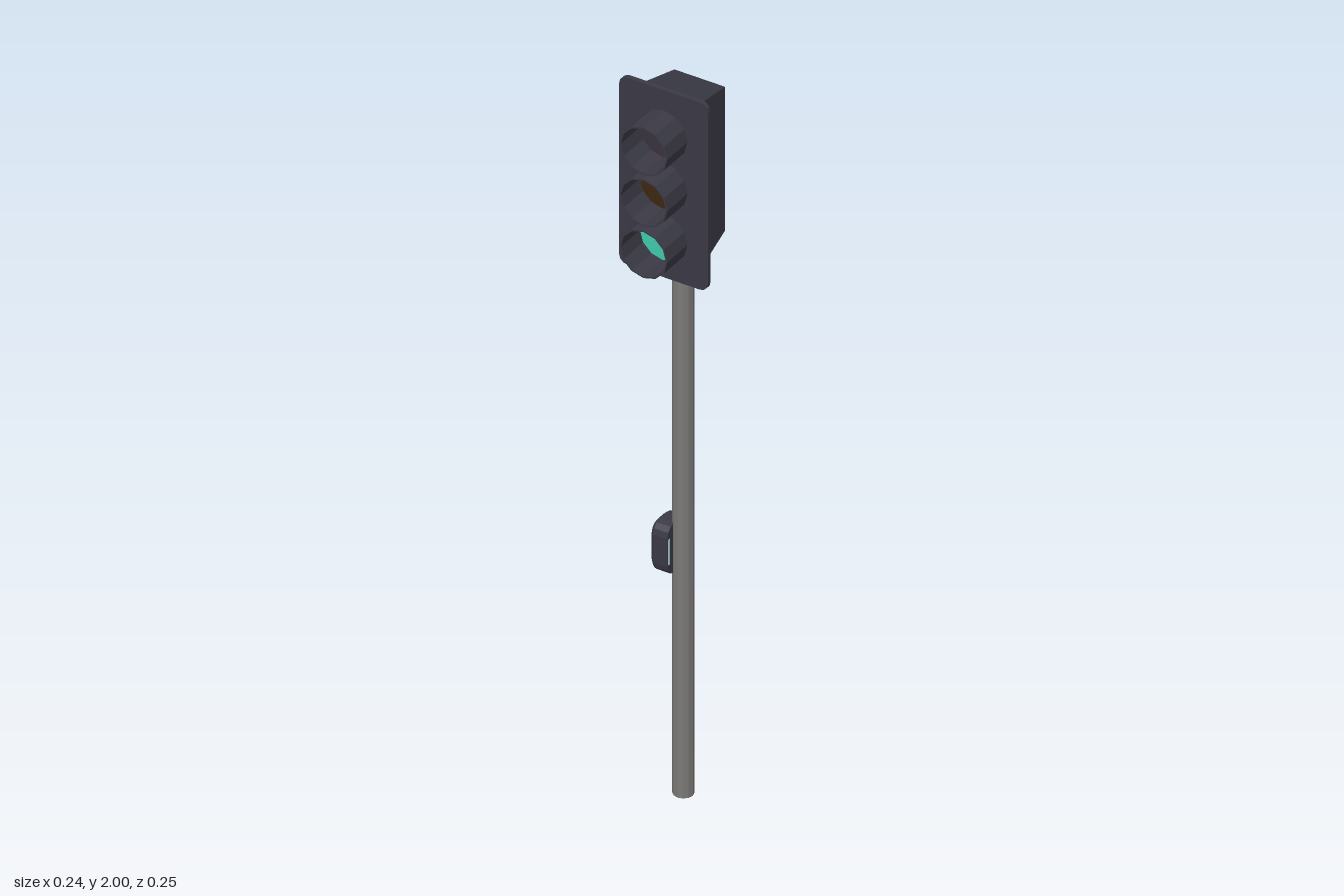
import * as THREE from 'three';

const paint = (name, color) => {
  const m = new THREE.MeshStandardMaterial({ color, flatShading: true });
  m.name = name;
  return m;
};

// Outline of a rounded rectangle, anticlockwise seen from the front
function outline(hw, y0, y1, r) {
  const pts = [];
  const corners = [[hw - r, y1 - r], [r - hw, y1 - r], [r - hw, y0 + r], [hw - r, y0 + r]];
  corners.forEach(([x, y], c) => {
    for (let i = 0; i <= 3; i++) {
      const a = (c + i / 3) * Math.PI / 2;
      pts.push([x + r * Math.cos(a), y + r * Math.sin(a)]);
    }
  });
  return pts;
}

// Capped solid through sections [halfWidth, bottom, top, cornerRadius, z], front to back
function loft(sections) {
  const pos = [], idx = [], n = 16;
  sections.forEach(([hw, y0, y1, r, z]) => outline(hw, y0, y1, r).forEach(([x, y]) => pos.push(x, y, z)));
  for (let s = 0; s < sections.length - 1; s++) {
    for (let i = 0; i < n; i++) {
      const a = s * n + i, a2 = s * n + (i + 1) % n;
      idx.push(a, a + n, a2 + n, a, a2 + n, a2);
    }
  }
  const last = (sections.length - 1) * n;
  for (let i = 1; i < n - 1; i++) {
    idx.push(0, i, i + 1, last, last + i + 1, last + i);
  }
  const g = new THREE.BufferGeometry();
  g.setAttribute('position', new THREE.Float32BufferAttribute(pos, 3));
  g.setIndex(idx);
  const flat = g.toNonIndexed();
  flat.computeVertexNormals();
  return flat;
}

export function createModel() {
  const model = new THREE.Group();
  const housingPaint = paint('charcoal', 0x3a3945);
  const polePaint = paint('pole grey', 0x7b7a77);
  const redPaint = paint('unlit red', 0x38323c);
  const amberPaint = paint('unlit amber', 0x3d2610);
  const greenPaint = paint('lit green', 0x40c8ac);
  const palePaint = paint('pale blue', 0xa9cdd6);

  const add = (name, geometry, material, parent = model) => {
    const mesh = new THREE.Mesh(geometry, material);
    mesh.name = name;
    parent.add(mesh);
    return mesh;
  };

  // Pole
  add('pole', new THREE.CylinderGeometry(0.026, 0.026, 1.56, 12), polePaint).position.set(0, 0.78, -0.053);

  // Signal head: tapered housing behind a rounded backplate
  add('housing', loft([
    [0.083, 1.507, 1.977, 0.002, 0.014],
    [0.07, 1.545, 1.947, 0.002, -0.123],
  ]), housingPaint);
  add('backplate', loft([
    [0.122, 1.48, 2.0, 0.022, 0.034],
    [0.122, 1.48, 2.0, 0.022, 0.022],
    [0.083, 1.503, 1.977, 0.012, 0.011],
  ]), housingPaint);

  // Three lenses, each in a tubular visor
  const wall = [[0.062, 0.03], [0.066, 0.03], [0.066, 0.122], [0.062, 0.122], [0.062, 0.03]];
  const visorGeometry = new THREE.LatheGeometry(wall.map(([r, z]) => new THREE.Vector2(r, z)), 12);
  visorGeometry.rotateX(Math.PI / 2);
  const lamps = [['red', redPaint, 1.878], ['amber', amberPaint, 1.735], ['green', greenPaint, 1.592]];
  for (const [name, material, y] of lamps) {
    add(name + 'Visor', visorGeometry, housingPaint).position.y = y;
    add(name + 'Lens', new THREE.CircleGeometry(0.063, 24), material).position.set(0, y, 0.038);
  }

  // Crossing button box on the right side of the pole, built facing +z then turned
  const box = new THREE.Group();
  box.name = 'buttonBox';
  box.position.set(0, 0.684, -0.053);
  box.rotation.y = -Math.PI / 2;
  model.add(box);
  add('buttonCase', loft([
    [0.037, -0.06, 0.06, 0.024, 0.064],
    [0.045, -0.069, 0.069, 0.03, 0.055],
    [0.045, -0.069, 0.069, 0.03, 0.016],
  ]), housingPaint, box);
  add('button', new THREE.CircleGeometry(0.012, 16), greenPaint, box).position.set(0, -0.022, 0.0655);
  for (const x of [-0.012, 0.012]) {
    add('buttonMark', new THREE.BoxGeometry(0.008, 0.014, 0.002), palePaint, box).position.set(x, 0.025, 0.0645);
  }
  // Pale mounting strip beside the pole
  add('mountStrip', new THREE.BoxGeometry(0.006, 0.07, 0.002), palePaint, box).position.set(0.038, 0, 0.0155);

  return model;
}
